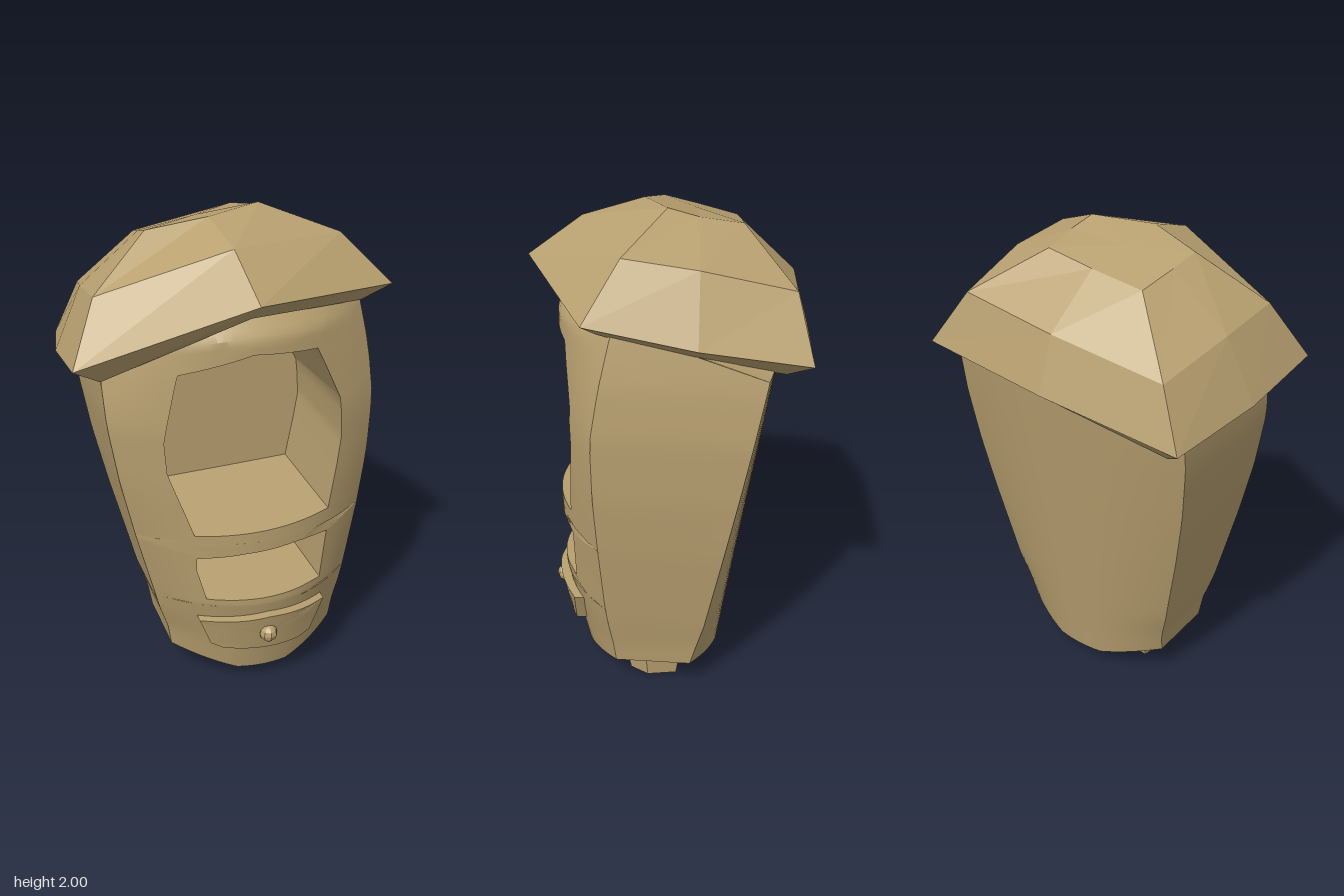
import * as THREE from 'three';
import { toCreasedNormals } from 'three/addons/utils/BufferGeometryUtils.js';

const COLOR = 0xb8a070;
const lerp = THREE.MathUtils.lerp;
const clamp = THREE.MathUtils.clamp;

// Surface from a grid of points f(i, j)
function surface(nu, nv, f) {
  const pos = [], index = [];
  for (let j = 0; j <= nv; j++)
    for (let i = 0; i <= nu; i++) pos.push(...f(i, j));
  for (let j = 0; j < nv; j++)
    for (let i = 0; i < nu; i++) {
      const a = j * (nu + 1) + i, d = a + nu + 1;
      index.push(a, a + 1, d + 1, a, d + 1, d);
    }
  const g = new THREE.BufferGeometry();
  g.setAttribute('position', new THREE.Float32BufferAttribute(pos, 3));
  g.setIndex(index);
  return g;
}

// Body sections: y, left x, right x, front corner z, front middle z
const SECTIONS = [
  [0.065, -0.26, 0.48, 0.2, 0.36], [0.2, -0.275, 0.49, 0.21, 0.39],
  [0.45, -0.335, 0.522, 0.235, 0.445], [0.75, -0.41, 0.56, 0.25, 0.45],
  [1.0, -0.465, 0.583, 0.26, 0.447], [1.25, -0.505, 0.59, 0.26, 0.44],
  [1.45, -0.515, 0.575, 0.225, 0.435], [1.6, -0.5, 0.55, 0.19, 0.43],
  [1.68, -0.49, 0.535, 0.17, 0.36],
];
const BASE = 0.065, TOP = 1.68, BACK_TOP = 1.5;

function section(y) {
  let i = 0;
  while (i < SECTIONS.length - 2 && y > SECTIONS[i + 1][0]) i++;
  const a = SECTIONS[i], b = SECTIONS[i + 1];
  const t = clamp((y - a[0]) / (b[0] - a[0]), 0, 1);
  return a.map((v, k) => lerp(v, b[k], t));
}
// The bottom rim rises towards the sides
const rimY = (u, y) =>
  y + 0.08 * clamp((Math.abs(u) - 0.3) / 0.7, 0, 1) * Math.max(0, 1 - (y - BASE) / 0.3);

function front(u, y) {
  const [, l, r, zc, zm] = section(y);
  return [lerp(l, r, (u + 1) / 2), rimY(u, y), zc + (zm - zc) * (1 - u * u)];
}
function back(u, y) {
  const [, l, r] = section(y);
  const zc = -0.11 - (y - BASE) * 0.188, zm = -0.23 - (y - BASE) * 0.148;
  return [lerp(l - 0.012, r + 0.012, (u + 1) / 2), rimY(u, y), zc + (zm - zc) * (1 - u * u)];
}
const toU = (x, y) => { const [, l, r] = section(y); return (2 * x - l - r) / (r - l); };

// Point where a ray from c at angle a meets a polygon
function cast(poly, c, a) {
  const dx = Math.cos(a), dy = Math.sin(a);
  for (let i = 0; i < poly.length; i++) {
    const p = poly[i], q = poly[(i + 1) % poly.length];
    const ex = q[0] - p[0], ey = q[1] - p[1], px = p[0] - c[0], py = p[1] - c[1];
    const den = dx * ey - dy * ex;
    if (Math.abs(den) < 1e-9) continue;
    const t = (px * ey - py * ex) / den, s = (px * dy - py * dx) / den;
    if (t > 0 && s > -1e-6 && s < 1 + 1e-6) return [c[0] + dx * t, c[1] + dy * t];
  }
  return c;
}
function anglesFor(c, ...polys) {
  const list = polys.flat().map(p => Math.atan2(p[1] - c[1], p[0] - c[0]));
  for (let i = 0; i < 56; i++) list.push(-Math.PI + (i / 56) * Math.PI * 2);
  list.sort((a, b) => a - b);
  const out = list.filter((a, i) => i === 0 || a - list[i - 1] > 1e-4);
  return [...out, out[0] + Math.PI * 2];
}

// Front band of the body with an opening leading into a recess
function bandWithRecess(y0, y1, outline, floorZ) {
  const hole = outline.map(([x, y]) => [toU(x, y), y]);
  const outer = [[-1, y0], [1, y0], [1, y1], [-1, y1]];
  const c = [0, 1].map(k => hole.reduce((s, p) => s + p[k], 0) / hole.length);
  const angles = anglesFor(c, hole, outer);
  const steps = 6, mid = front(...c);
  return surface(angles.length - 1, steps + 2, (i, j) => {
    const o = cast(outer, c, angles[i]), h = cast(hole, c, angles[i]);
    if (j <= steps) return front(lerp(o[0], h[0], j / steps), lerp(o[1], h[1], j / steps));
    if (j === steps + 2) return [mid[0], mid[1], floorZ];
    const p = front(...h);
    return [lerp(mid[0], p[0], 0.97), lerp(mid[1], p[1], 0.95), floorZ];
  });
}

const WINDOW = [[-0.2, 0.79], [0.1, 0.805], [0.37, 0.82], [0.42, 1.13], [0.405, 1.3],
  [0.29, 1.525], [0.02, 1.545], [-0.255, 1.475], [-0.31, 1.2], [-0.3, 1.07]];
const NICHE = [[-0.15, 0.475], [0.35, 0.485], [0.37, 0.71], [0.22, 0.72], [0, 0.705],
  [-0.19, 0.68], [-0.19, 0.62]];
const DRAWER = [[-0.13, 0.24], [-0.08, 0.22], [0.25, 0.215], [0.31, 0.23], [0.37, 0.38],
  [0.1, 0.4], [-0.18, 0.37]];

// Roof rings of eight points, from the front peak round by +x
const EAVE = [[0, 1.765, 0.55], [0.635, 1.715, 0.27], [0.63, 1.63, -0.13], [0.56, 1.55, -0.535],
  [-0.02, 1.49, -0.555], [-0.58, 1.39, -0.48], [-0.635, 1.45, -0.08], [-0.63, 1.51, 0.325]];
const SHOULDER = [[-0.03, 1.915, 0.335], [0.46, 1.9, 0.145], [0.46, 1.86, -0.13], [0.4, 1.77, -0.475],
  [-0.03, 1.71, -0.49], [-0.48, 1.62, -0.43], [-0.52, 1.7, -0.1], [-0.52, 1.74, 0.19]];
const CROWN = [[-0.055, 1.98, 0.095], [0.175, 2, -0.005], [0.18, 1.97, -0.12], [0.15, 1.94, -0.285],
  [-0.05, 1.9, -0.28], [-0.265, 1.86, -0.265], [-0.28, 1.9, -0.1], [-0.285, 1.93, 0.03]];

export function createModel() {
  const model = new THREE.Group();
  const smooth = new THREE.MeshStandardMaterial({ color: COLOR, side: THREE.DoubleSide });
  const flat = new THREE.MeshStandardMaterial({ color: COLOR, side: THREE.DoubleSide, flatShading: true });
  const add = (name, geo, mat = smooth, parent = model) => {
    const mesh = new THREE.Mesh(mat === smooth ? toCreasedNormals(geo, 0.6) : geo, mat);
    mesh.name = name;
    parent.add(mesh);
    return mesh;
  };

  // Body shell
  const body = new THREE.Group();
  body.name = 'body';
  model.add(body);
  const N = 20, V = 24, U = i => -1 + (2 * i) / N;
  add('windowFront', bandWithRecess(0.755, TOP, WINDOW, -0.1), smooth, body);
  add('nicheFront', bandWithRecess(0.44, 0.755, NICHE, -0.1), smooth, body);
  add('lowerFront', surface(N, 8, (i, j) => front(U(i), lerp(BASE, 0.44, j / 8))), smooth, body);
  add('backWall', surface(N, V, (i, j) => back(-U(i), lerp(BASE, BACK_TOP, j / V))), smooth, body);
  for (const s of [1, -1])
    add(s > 0 ? 'leftWall' : 'rightWall', surface(4, V, (i, j) => {
      const t = s > 0 ? i / 4 : 1 - i / 4;
      const y = lerp(BASE, lerp(TOP, BACK_TOP, t), j / V);
      const f = front(s, y), b = back(s, y);
      return f.map((v, k) => lerp(v, b[k], t));
    }), smooth, body);
  add('underside', surface(N, 1, (i, j) => (j ? front : back)(U(i), BASE)), smooth, body);
  add('topCap', surface(N, 1, (i, j) => (j ? back(U(i), BACK_TOP) : front(U(i), TOP))), smooth, body);

  // Tilted faceted roof with a lip folding under
  const lip = EAVE.map(([x, y, z]) => [x * 0.83, y - 0.07, z * 0.83]);
  const point = p => Array(8).fill(p);
  const rings = [point([0, 1.53, 0]), lip, EAVE, SHOULDER, CROWN, point([-0.05, 1.945, -0.1])];
  add('roof', surface(8, rings.length - 1, (i, j) => rings[j][i % 8]), flat);

  // Curved drawer front and knob
  const c = [0.09, 0.31], angles = anglesFor(c, DRAWER);
  const rows = [[1, -0.05], [1, 0.04], [0.66, 0.04], [0.33, 0.04], [0, 0.04]];
  add('drawer', surface(angles.length - 1, rows.length - 1, (i, j) => {
    const [k, lift] = rows[j], p = cast(DRAWER, c, angles[i]);
    const x = lerp(c[0], p[0], k), y = lerp(c[1], p[1], k);
    return [x, y, front(toU(x, y), y)[2] + lift];
  }));
  add('drawerKnob', new THREE.SphereGeometry(0.038, 8, 6), flat).position.set(0.095, 0.31, 0.46);

  // Two stubby feet
  for (const [name, x] of [['rightFoot', -0.108], ['leftFoot', 0.358]]) {
    const foot = add(name, new THREE.CylinderGeometry(1.05, 0.84, 0.14, 5), flat);
    foot.scale.set(0.055, 1, 0.13);
    foot.position.set(x, 0.07, 0.04);
  }
  return model;
}
